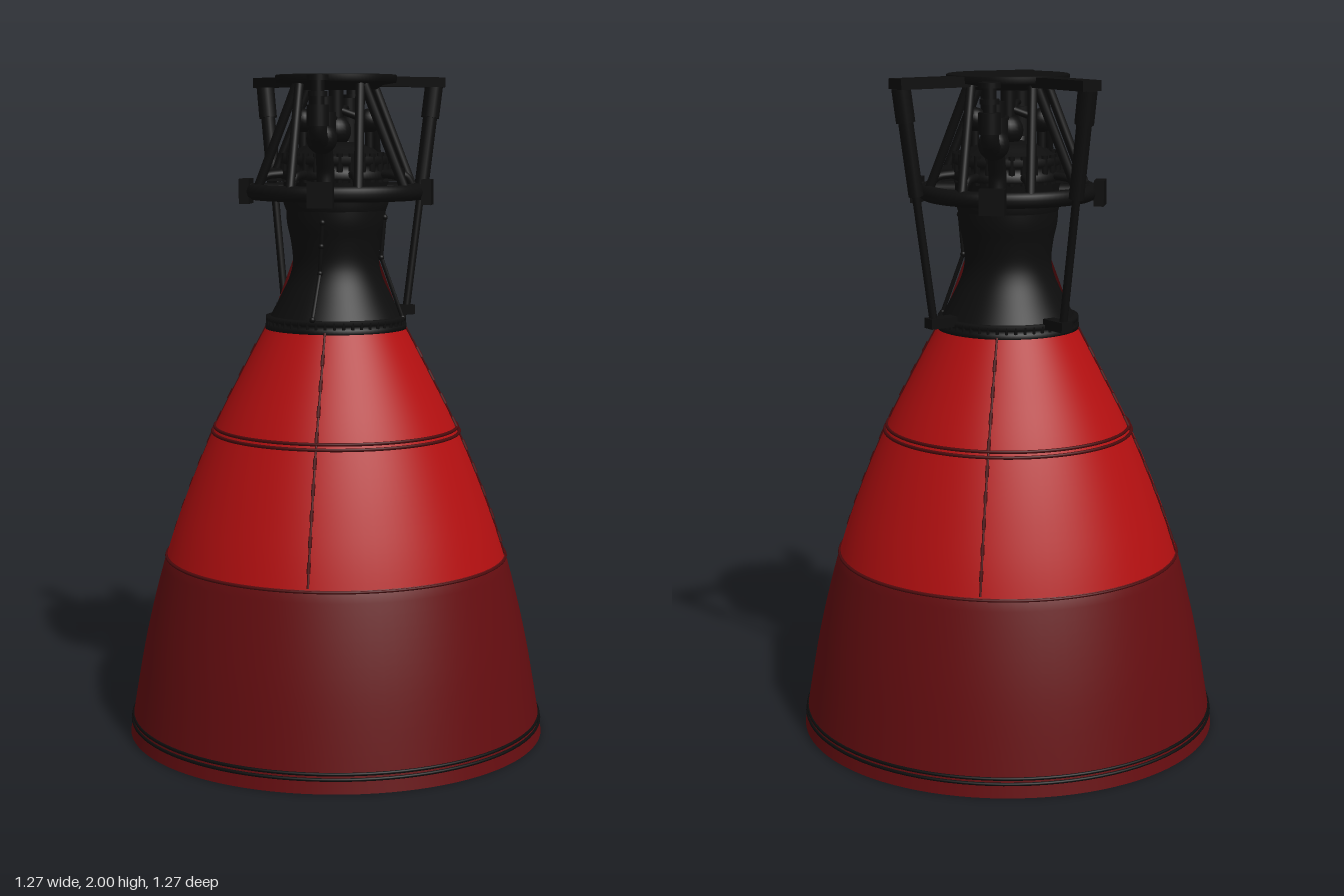
import * as THREE from 'three';

const mat = (name, color, side = THREE.FrontSide) => {
  const m = new THREE.MeshStandardMaterial({ color, side });
  m.name = name;
  return m;
};

export function createModel() {
  const red = mat('bright red', 0xb30f10);
  const darkRed = mat('dark red', 0x650d10);
  const seamRed = mat('seam red', 0x4a0a0c);
  const black = mat('black', 0x0d0d0d);
  const model = new THREE.Group();
  model.name = 'rocketEngine';
  const V = (x, y, z) => new THREE.Vector3(x, y, z);

  const add = (name, geo, material = black, pos = [0, 0, 0], parent = model) => {
    const m = new THREE.Mesh(geo, material);
    m.name = name;
    m.position.set(...pos);
    parent.add(m);
    return m;
  };
  const lathe = (name, pts, material = black, parent = model, seg = 96) =>
    add(name, new THREE.LatheGeometry(pts.map(p => new THREE.Vector2(...p)), seg), material, [0, 0, 0], parent);
  const ring = (name, r, y, tube, material = black, seg = 96) => {
    const m = add(name, new THREE.TorusGeometry(r, tube, 10, seg), material, [0, y, 0]);
    m.rotation.x = Math.PI / 2;
    return m;
  };
  const rod = (name, a, b, r, parent = model, sides = 12) => {
    const d = b.clone().sub(a);
    const m = add(name, new THREE.CylinderGeometry(r, r, d.length(), sides), black,
      a.clone().add(b).multiplyScalar(0.5).toArray(), parent);
    m.quaternion.setFromUnitVectors(V(0, 1, 0), d.normalize());
    return m;
  };
  const pipe = (name, pts, r, parent = model) =>
    add(name, new THREE.TubeGeometry(new THREE.CatmullRomCurve3(pts.map(p => V(...p))), 32, r, 10), black, [0, 0, 0], parent);
  const drum = (name, r, h, pos, parent = model) =>
    add(name, new THREE.CylinderGeometry(r, r, h, 24), black, pos, parent);
  const ball = (name, r, pos, parent = model) =>
    add(name, new THREE.SphereGeometry(r, 20, 14), black, pos, parent);

  // Bell nozzle: one curve sampled for skin, lining and seams
  const bell = new THREE.SplineCurve([[0.637, 0], [0.584, 0.3], [0.52, 0.555], [0.455, 0.745],
    [0.373, 0.94], [0.29, 1.105], [0.205, 1.265]].map(p => new THREE.Vector2(...p)));
  const samples = bell.getPoints(120);
  const radiusAt = y => {
    const i = Math.max(1, samples.findIndex(p => p.y >= y));
    const a = samples[i - 1], b = samples[i];
    return a.x + (b.x - a.x) * (y - a.y) / (b.y - a.y);
  };
  const band = (y0, y1, off, n = 16) => Array.from({ length: n + 1 }, (_, i) => {
    const y = y0 + (y1 - y0) * i / n;
    return [radiusAt(y) + off, y];
  });
  lathe('nozzleSkirt', [...band(0, 0.555, 0), [radiusAt(0.555) - 0.006, 0.556]], darkRed);
  lathe('nozzleUpperBell', band(0.55, 1.26, -0.002, 28), red);
  lathe('nozzleLining', [[0.13, 1.45], ...band(1.26, 0, -0.008, 40), [0.637, 0]], darkRed);

  // Circumferential seams and stiffeners
  for (const y of [0.932, 0.947]) ring('bellSeam', radiusAt(y), y, 0.005, seamRed);
  ring('skirtSeam', radiusAt(0.55), 0.55, 0.004, seamRed);
  for (const y of [0.04, 0.055]) ring('rimBand', radiusAt(y), y, 0.005);

  // Four lengthwise weld seams, with thicker clips along them
  for (let i = 0; i < 4; i++) {
    const weld = new THREE.Group();
    weld.name = 'weldSeam';
    weld.rotation.y = i * Math.PI / 2;
    model.add(weld);
    const pts = band(0.56, 1.25, 0, 12).map(([r, y]) => V(0, y, r));
    add('weldLine', new THREE.TubeGeometry(new THREE.CatmullRomCurve3(pts), 30, 0.0035, 6), seamRed, [0, 0, 0], weld);
    for (let k = 0; k < 9; k++) {
      const y = 0.6 + k * 0.07;
      const m = rod('weldClip', V(0, y, radiusAt(y)), V(0, y + 0.03, radiusAt(y + 0.03)), 0.006, weld, 6);
      m.material = seamRed;
    }
  }

  // Bolted flange between bell and chamber
  lathe('bellFlange', [[0.2, 1.245], [0.214, 1.245], [0.214, 1.258], [0.206, 1.26], [0.206, 1.268],
    [0.212, 1.27], [0.212, 1.283], [0.19, 1.285]]);
  const boltCircle = (name, r, y, n, size, h) => {
    for (let i = 0; i < n; i++) {
      const a = i / n * Math.PI * 2;
      add(name, new THREE.CylinderGeometry(size, size, h, 6), black, [r * Math.sin(a), y, r * Math.cos(a)]);
    }
  };
  boltCircle('flangeBolt', 0.208, 1.264, 48, 0.005, 0.03);

  // Combustion chamber, throat and injector dome
  const chamber = new THREE.SplineCurve([[0.2, 1.28], [0.168, 1.34], [0.14, 1.4], [0.13, 1.45],
    [0.136, 1.51], [0.148, 1.57], [0.15, 1.65]].map(p => new THREE.Vector2(...p))).getPoints(30);
  lathe('combustionChamber', chamber.map(p => [p.x, p.y]));
  lathe('injectorHead', [[0.15, 1.6], [0.157, 1.62], [0.157, 1.69], [0.168, 1.695], [0.168, 1.715], [0.155, 1.72],
    [0.155, 1.735], [0.165, 1.74], [0.165, 1.76], [0.135, 1.765], [0.11, 1.785], [0.07, 1.8], [0, 1.805]]);
  boltCircle('injectorBolt', 0.157, 1.728, 28, 0.01, 0.085);

  // Ring manifold with four blocks and feed stubs
  ring('ringManifold', 0.245, 1.655, 0.024);
  for (let i = 0; i < 4; i++) {
    const g = new THREE.Group();
    g.name = 'manifoldPort';
    g.rotation.y = i * Math.PI / 2;
    model.add(g);
    const out = i % 2 ? 0 : 0.015;
    add('manifoldBlock', new THREE.BoxGeometry(0.075, 0.075, 0.03), black, [0, 1.655, 0.275 + out], g);
    rod('manifoldStub', V(0, 1.655, 0.14), V(0, 1.655, 0.29 + out), 0.024, g);
    for (const s of [-1, 1])
      pipe('feedLine', [[s * 0.1, 1.655, 0.225], [s * 0.09, 1.7, 0.2], [s * 0.07, 1.71, 0.15]], 0.012, g);
  }
  for (const s of [-1, 1]) add('sideHousing', new THREE.BoxGeometry(0.06, 0.035, 0.13), black, [s * 0.17, 1.705, 0]);

  // Thrust plate and its strut frame
  lathe('thrustPlate', [[0, 1.955], [0.12, 1.957], [0.14, 1.97], [0.18, 1.977], [0.182, 1.997], [0.178, 2], [0, 2]]);
  for (const sx of [-1, 1]) for (const sz of [-1, 1]) {
    rod('thrustStrut', V(sx * 0.1, 1.97, sz * 0.11), V(sx * 0.22, 1.665, sz * 0.1), 0.014);
    rod('thrustStrut', V(sx * 0.09, 1.97, sz * 0.12), V(sx * 0.1, 1.665, sz * 0.225), 0.014);
  }

  // Gimbal joint and spherical valves under the plate
  drum('gimbalPost', 0.022, 0.17, [0, 1.88, 0]);
  ball('gimbalBall', 0.046, [0, 1.835, 0]);
  for (const s of [-1, 1]) {
    ball('sphereValve', 0.036, [s * 0.1, 1.865, 0]);
    rod('valveStem', V(s * 0.1, 1.865, 0), V(s * 0.1, 1.76, 0), 0.013);
    rod('valveLink', V(s * 0.1, 1.865, 0), V(0, 1.9, 0), 0.011);
  }

  // Propellant inlets at front and back
  for (const s of [1, -1]) {
    const g = new THREE.Group();
    g.name = 'propellantInlet';
    g.rotation.y = s > 0 ? 0 : Math.PI;
    model.add(g);
    drum('inletFlange', 0.031, 0.016, [0, 1.985, 0.335], g);
    drum('inletNeck', 0.019, 0.12, [0, 1.92, 0.335], g);
    drum('inletCollar', 0.028, 0.014, [0, 1.94, 0.335], g);
    drum('inletBellows', 0.032, 0.06, [0, 1.88, 0.335], g);
    pipe('inletElbow', [[0, 1.87, 0.335], [0, 1.825, 0.325], [0, 1.81, 0.29], [0, 1.815, 0.25]], 0.026, g);
    drum('pumpBody', 0.038, 0.09, [0, 1.845, 0.245], g);
    drum('pumpCap', 0.028, 0.15, [0, 1.86, 0.245], g);
    ball('pumpBall', 0.045, [0, 1.815, 0.265], g);
    pipe('pumpOutlet', [[0, 1.81, 0.24], [0, 1.76, 0.215], [0, 1.72, 0.2], [0, 1.66, 0.2]], 0.026, g);
    pipe('crossLine', [[0, 1.9, 0.24], [0, 1.905, 0.17], [0, 1.88, 0.1], [0, 1.87, 0]], 0.008, g);
  }

  // Steering actuators on the two rear diagonals
  for (const s of [-1, 1]) {
    const g = new THREE.Group();
    g.name = 'steeringActuator';
    g.rotation.y = Math.PI + s * Math.PI / 4;
    model.add(g);
    add('actuatorArm', new THREE.BoxGeometry(0.065, 0.03, 0.28), black, [0, 1.982, 0.255], g);
    const top = V(0, 1.97, 0.375), low = V(0, 1.285, 0.27);
    const mid = top.clone().lerp(low, 0.45);
    rod('actuatorCylinder', top, mid, 0.022, g, 16);
    rod('actuatorSleeve', top, top.clone().lerp(low, 0.14), 0.028, g, 16);
    rod('actuatorPiston', mid, low, 0.012, g);
    add('actuatorBracket', new THREE.BoxGeometry(0.04, 0.03, 0.09), black, [0, 1.285, 0.245], g);
  }

  // Slim drain lines down the chamber
  for (const p of [[[-0.015, 1.57, 0.165], [-0.02, 1.5, 0.155], [-0.025, 1.42, 0.15], [-0.035, 1.29, 0.225]],
    [[0.15, 1.58, 0.02], [0.14, 1.46, 0.02], [0.205, 1.28, 0.02]]]) {
    const pts = p.map(q => V(...q));
    for (let i = 0; i + 1 < pts.length; i++) rod('drainLine', pts[i], pts[i + 1], 0.006, model, 8);
    pts.forEach(q => ball('drainJoint', 0.009, q.toArray()));
  }
  return model;
}
